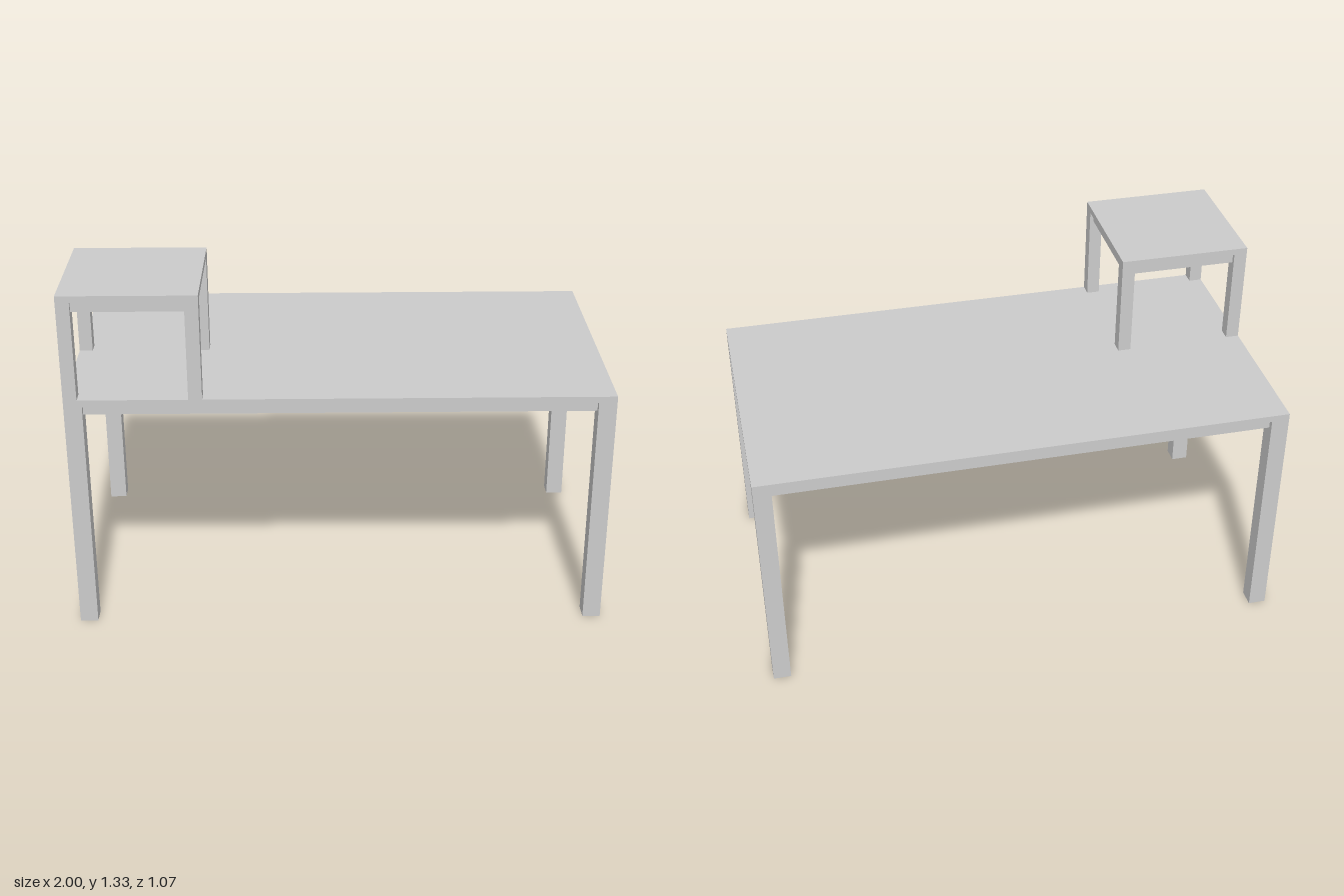
import * as THREE from 'three';

const material = new THREE.MeshStandardMaterial({ color: 0xcccccc, flatShading: true });

function addBox(group, name, size, position) {
  const mesh = new THREE.Mesh(new THREE.BoxGeometry(...size), material);
  mesh.name = name;
  mesh.position.set(...position);
  group.add(mesh);
}

// Table standing on y = 0: thin top, four flush corner legs, and aprons set in from the edge
function createTable(name, { width, depth, height, leg, apron, inset }) {
  const table = new THREE.Group();
  table.name = name;
  const topThickness = 0.025;
  const apronHeight = 0.04;
  const legHeight = height - topThickness;
  const apronY = legHeight - apronHeight / 2;

  addBox(table, 'tableTop', [width, topThickness, depth], [0, height - topThickness / 2, 0]);

  for (const side of [-1, 1]) {
    for (const end of [-1, 1]) {
      addBox(table, 'leg', [leg, legHeight, leg],
        [side * (width - leg) / 2, legHeight / 2, end * (depth - leg) / 2]);
    }
    // Aprons run between the legs
    addBox(table, 'longApron', [width - 2 * leg, apronHeight, apron],
      [0, apronY, side * (depth / 2 - inset - apron / 2)]);
    addBox(table, 'sideApron', [apron, apronHeight, depth - 2 * leg],
      [side * (width / 2 - inset - apron / 2), apronY, 0]);
  }
  return table;
}

export function createModel() {
  const model = new THREE.Group();
  model.name = 'deskWithRiser';

  const desk = createTable('desk',
    { width: 2, depth: 1.067, height: 0.933, leg: 0.067, apron: 0.027, inset: 0.02 });

  // Small table on the front right corner of the desk
  const riser = createTable('riser',
    { width: 0.5, depth: 0.507, height: 0.4, leg: 0.05, apron: 0.02, inset: 0.015 });
  riser.position.set(-0.75, 0.933, 0.28);

  model.add(desk, riser);
  return model;
}
